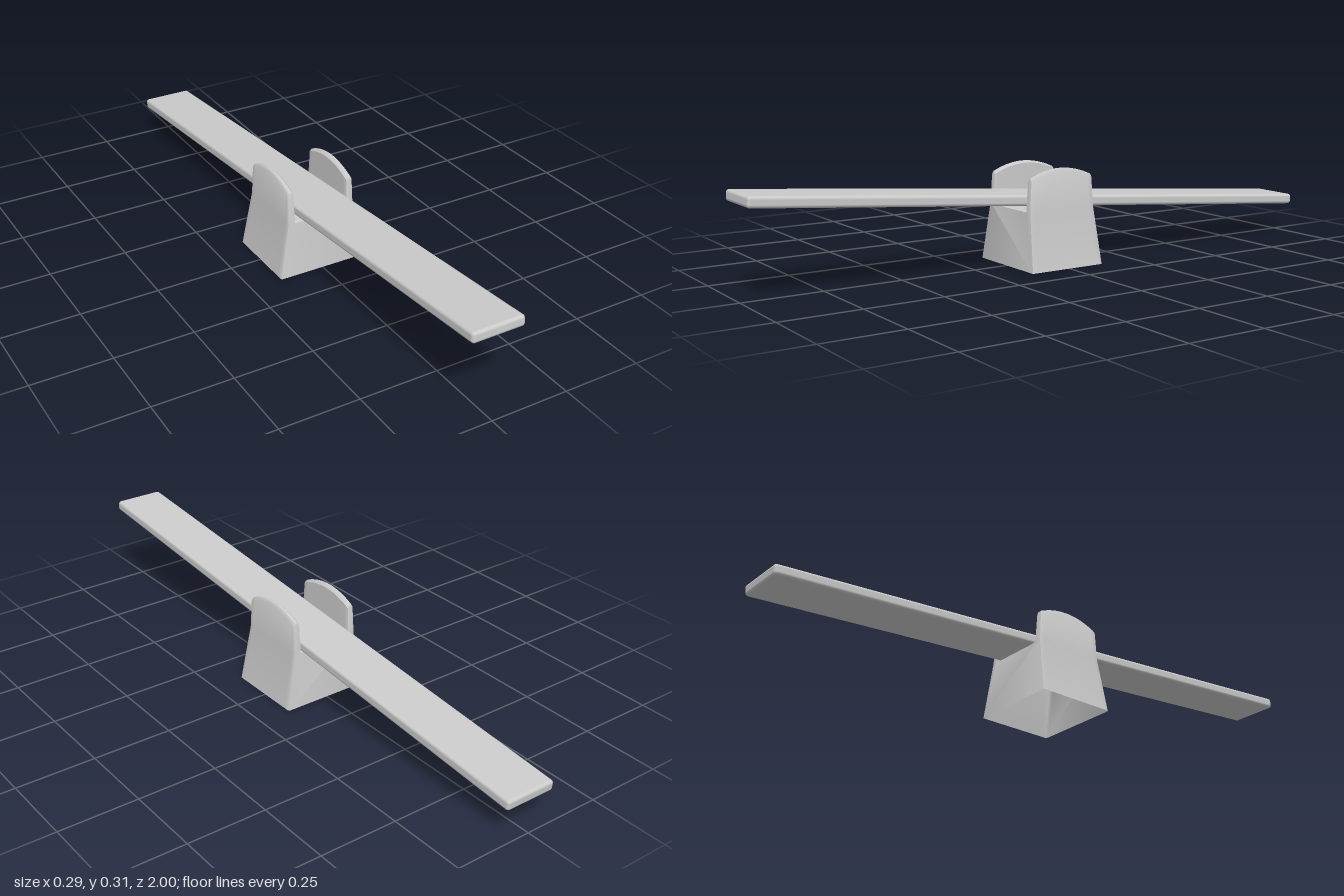
import * as THREE from 'three';
import { toCreasedNormals } from 'three/addons/utils/BufferGeometryUtils.js';
import { RoundedBoxGeometry } from 'three/addons/geometries/RoundedBoxGeometry.js';

const material = new THREE.MeshStandardMaterial({ color: 0xcccccc, side: THREE.DoubleSide });

// Hollow tapered stand with two arched cheeks, open underneath
function standGeometry() {
  const half = [[0.147, 0], [0.115, 0.18], [0.113, 0.272], [0.108, 0.28], [0.098, 0.28], [0.092, 0.274], [0.09, 0.18]];
  const outline = [...half, ...half.map(([x, y]) => [-x, y]).reverse()];
  const shape = new THREE.Shape(outline.map(([x, y]) => new THREE.Vector2(x, y)));
  const bevel = 0.005;
  const geo = new THREE.ExtrudeGeometry(shape, {
    depth: 2 - 0.08, steps: 16, bevelEnabled: true, bevelSegments: 2,
    bevelSize: bevel, bevelOffset: -bevel, bevelThickness: 0.04,
  });
  geo.translate(0, 0, -0.96);

  // Taper the depth upwards and arch the tops of the cheeks
  const p = geo.attributes.position;
  for (let i = 0; i < p.count; i++) {
    const t = p.getZ(i);
    let y = p.getY(i);
    if (y < 0.01) y = 0;
    const z = t * (0.13 - 0.018 * y / 0.28) + 0.005;
    if (y > 0.25) y += 0.027 * (1 - t * t);
    p.setY(i, y);
    p.setZ(i, z);
  }

  // Leave out the floor
  const kept = [];
  for (let i = 0; i < p.count; i += 3) {
    if (Math.max(p.getY(i), p.getY(i + 1), p.getY(i + 2)) < 0.001) continue;
    for (let k = i; k < i + 3; k++) kept.push(p.getX(k), p.getY(k), p.getZ(k));
  }
  const open = new THREE.BufferGeometry();
  open.setAttribute('position', new THREE.Float32BufferAttribute(kept, 3));
  return toCreasedNormals(open, 0.6);
}

export function createModel() {
  const group = new THREE.Group();
  group.name = 'seesaw';

  const stand = new THREE.Mesh(standGeometry(), material);
  stand.name = 'stand';
  group.add(stand);

  // Tilted plank, front end raised
  const plank = new THREE.Mesh(new RoundedBoxGeometry(0.168, 0.034, 2.004, 3, 0.01), material);
  plank.name = 'plank';
  plank.position.y = 0.203;
  plank.rotation.x = -Math.atan(0.0865);
  group.add(plank);

  return group;
}
